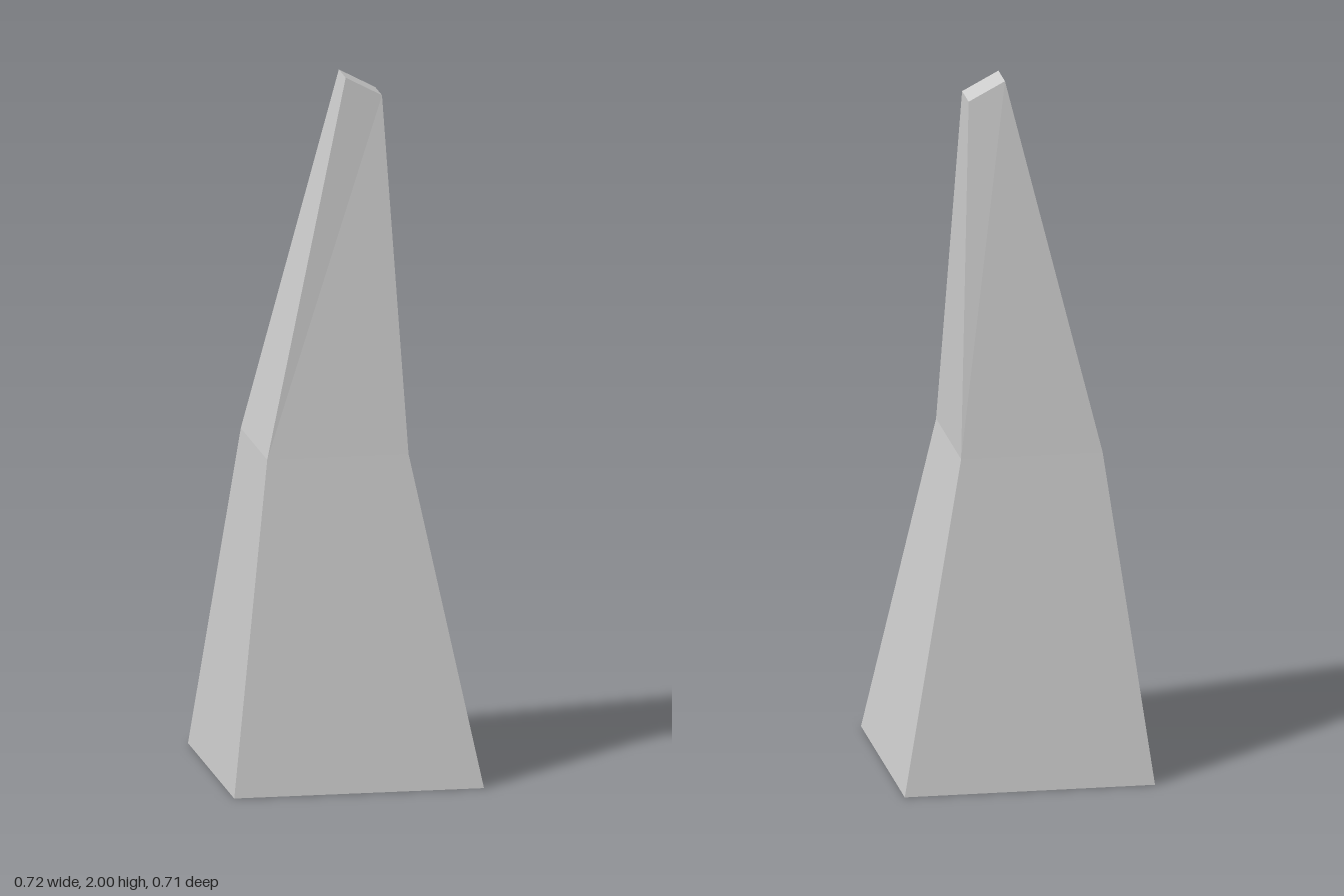
import * as THREE from 'three';

// Rectangular cross-sections from base to tip: x range, height at each x end, half depth
const sections = [
  { x: [-0.358, 0.358], y: [0, 0], z: 0.355 },
  { x: [-0.235, 0.17], y: [0.94, 0.94], z: 0.203 },
  { x: [0.018, 0.122], y: [2, 1.945], z: 0.053 },
];

export function createModel() {
  const group = new THREE.Group();
  group.name = 'leaningSpike';

  // Box with one ring of vertices at mid height, each ring fitted to its section
  const geometry = new THREE.BoxGeometry(2, 2, 2, 1, 2, 1);
  const pos = geometry.attributes.position;
  for (let i = 0; i < pos.count; i++) {
    const section = sections[Math.round(pos.getY(i)) + 1];
    const side = pos.getX(i) > 0 ? 1 : 0;
    pos.setXYZ(i, section.x[side], section.y[side], Math.sign(pos.getZ(i)) * section.z);
  }
  geometry.computeVertexNormals();

  const spike = new THREE.Mesh(
    geometry,
    new THREE.MeshStandardMaterial({ color: 0xcccccc, flatShading: true })
  );
  spike.name = 'spike';
  group.add(spike);
  return group;
}
